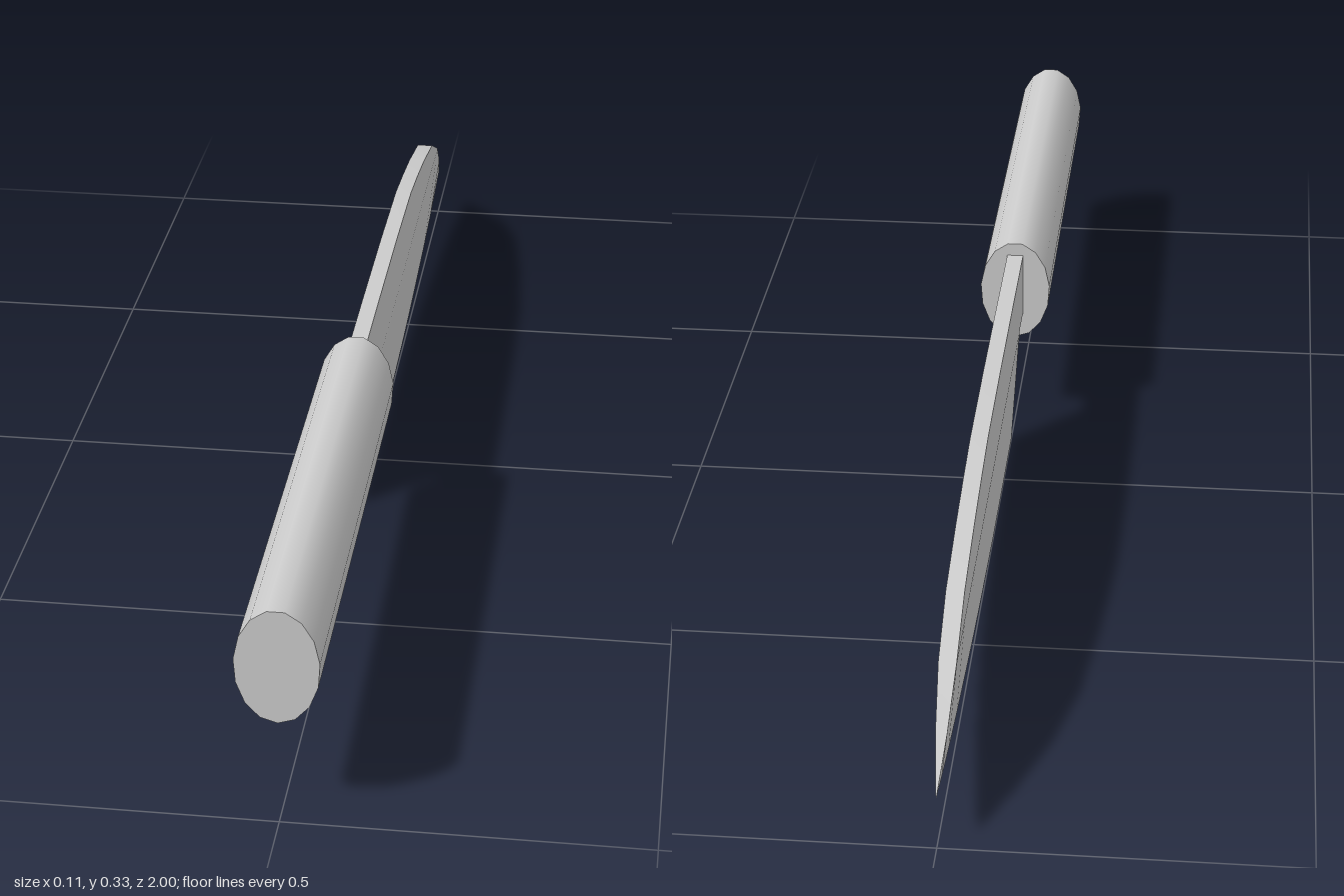
import * as THREE from 'three';
import { toCreasedNormals } from 'three/addons/utils/BufferGeometryUtils.js';

const HALF = 0.013;      // half thickness of the spine
const SHOULDER = 0.2;    // height where the wedge grind begins

// Stations along the blade: z, edge height, spine height, half thickness
const STATIONS = [
  [0.14, 0.003, 0.308, HALF], [0.03, 0.003, 0.308, HALF],
  [-0.2, 0.005, 0.306, HALF], [-0.405, 0.014, 0.3, HALF],
  [-0.5, 0.02, 0.289, HALF], [-0.61, 0.03, 0.273, HALF],
  [-0.747, 0.044, 0.246, HALF], [-0.85, 0.057, 0.198, 0.0125],
  [-0.93, 0.07, 0.141, 0.008], [-1, 0.083, 0.084, 0.0004],
];

// Loft of five-sided wedge sections from the heel to the tip
function bladeGeometry() {
  const pos = [];
  for (const [z, edge, spine, h] of STATIONS) {
    const s = Math.min(SHOULDER, edge + (spine - edge) * 0.97);
    pos.push(0, edge, z, h, s, z, h, spine, z, -h, spine, z, -h, s, z);
  }
  const index = [0, 1, 2, 0, 2, 3, 0, 3, 4]; // heel face
  for (let i = 0; i < STATIONS.length - 1; i++) {
    for (let j = 0; j < 5; j++) {
      const k = (j + 1) % 5;
      const a = i * 5 + j, b = i * 5 + k, c = b + 5, d = a + 5;
      index.push(a, d, c, a, c, b);
    }
  }
  const geo = new THREE.BufferGeometry();
  geo.setAttribute('position', new THREE.Float32BufferAttribute(pos, 3));
  geo.setIndex(index);
  return toCreasedNormals(geo, 0.3);
}

// Flat neck with a small rounded corner above the heel
function neckGeometry() {
  const s = new THREE.Shape();
  s.moveTo(0.14, 0.19);
  s.quadraticCurveTo(0.141, 0.202, 0.155, 0.203);
  s.lineTo(0.22, 0.203);
  s.lineTo(0.22, 0.308);
  s.lineTo(0.14, 0.308);
  const geo = new THREE.ExtrudeGeometry(s, { depth: 2 * HALF, bevelEnabled: false, curveSegments: 4 });
  return geo.rotateY(-Math.PI / 2).translate(HALF, 0, 0);
}

export function createModel() {
  const knife = new THREE.Group();
  knife.name = 'knife';
  const material = new THREE.MeshStandardMaterial({ color: 0xcccccc });
  const add = (name, geometry) => {
    const mesh = new THREE.Mesh(geometry, material);
    mesh.name = name;
    knife.add(mesh);
  };

  add('blade', bladeGeometry());
  add('neck', neckGeometry());

  // Oval handle
  const handle = new THREE.CylinderGeometry(1, 1, 0.79, 15);
  handle.rotateX(Math.PI / 2).scale(0.057, 0.0855, 1).translate(0, 0.245, 0.605);
  add('handle', handle);

  return knife;
}
